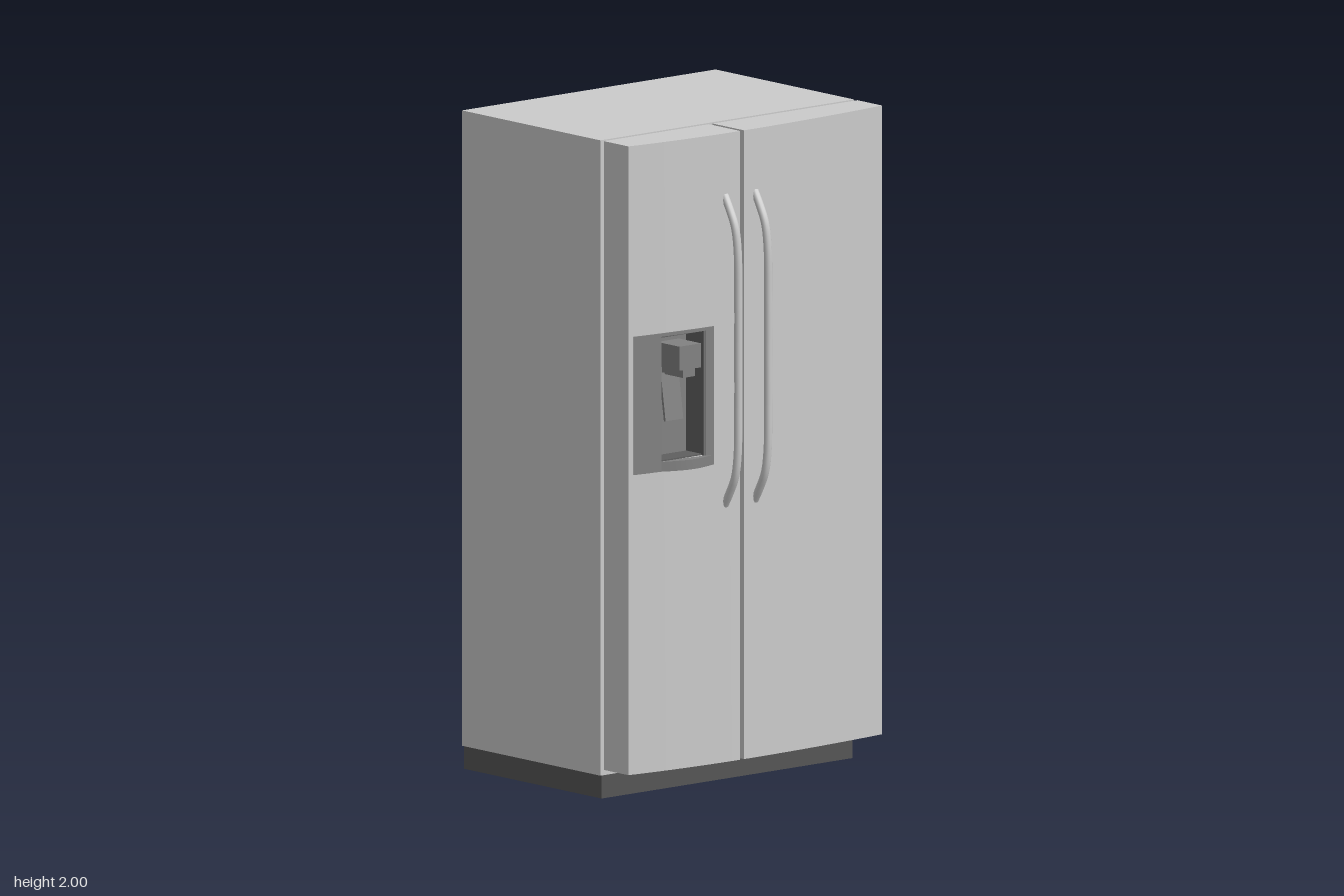
import * as THREE from 'three';
import { toCreasedNormals } from 'three/addons/utils/BufferGeometryUtils.js';

const material = (color) => new THREE.MeshStandardMaterial({ color, side: THREE.DoubleSide });

// Bowed front of the doors: fullest beside the centre gap
const frontZ = (x) => 0.371 - 0.031 * ((x + 0.08) / (x < -0.08 ? 0.42 : 0.58)) ** 2;

export function createModel() {
  const model = new THREE.Group();
  const grey = material(0xcccccc);
  const baseGrey = material(0x555555);
  const panelGrey = material(0x828282);
  const darkGrey = material(0x606060);
  const black = material(0x151515);

  function add(parent, name, geometry, mat) {
    const mesh = new THREE.Mesh(geometry, mat);
    mesh.name = name;
    parent.add(mesh);
    return mesh;
  }

  function group(name) {
    const g = new THREE.Group();
    g.name = name;
    model.add(g);
    return g;
  }

  // Box given by its limits on each axis
  function box(parent, name, x0, x1, y0, y1, z0, z1, mat) {
    const mesh = add(parent, name, new THREE.BoxGeometry(x1 - x0, y1 - y0, z1 - z0), mat);
    mesh.position.set((x0 + x1) / 2, (y0 + y1) / 2, (z0 + z1) / 2);
    return mesh;
  }

  // Upright slab with a flat back and a front that follows the function front(x)
  function slab(parent, name, x0, x1, y0, y1, back, front, mat) {
    const shape = new THREE.Shape();
    shape.moveTo(x0, -back);
    const n = 16;
    for (let i = 0; i <= n; i++) {
      const x = x0 + ((x1 - x0) * i) / n;
      shape.lineTo(x, -front(x));
    }
    shape.lineTo(x1, -back);
    const geometry = new THREE.ExtrudeGeometry(shape, { depth: y1 - y0, bevelEnabled: false });
    geometry.rotateX(-Math.PI / 2);
    geometry.translate(0, y0, 0);
    return add(parent, name, toCreasedNormals(geometry, 0.5), mat);
  }

  // Cabinet, base and door seals
  box(model, 'cabinet', -0.5, 0.5, 0.07, 2, -0.42, 0.212, grey);
  box(model, 'base', -0.495, 0.495, 0, 0.07, -0.417, 0.212, baseGrey);
  box(model, 'leftSeal', -0.06, 0.475, 0.1, 1.98, 0.212, 0.228, grey);
  box(model, 'rightSeal', -0.48, -0.095, 0.1, 1.98, 0.212, 0.228, grey);

  // Wide door
  slab(model, 'wideDoor', -0.071, 0.5, 0.09, 2, 0.228, frontZ, grey);

  // Narrow door, built around the dispenser opening
  const cx0 = -0.385, cx1 = -0.22, cy0 = 1.03, cy1 = 1.41, cz = 0.28;
  const door = group('narrowDoor');
  slab(door, 'doorBottom', -0.5, -0.086, 0.09, cy0, 0.228, frontZ, grey);
  slab(door, 'doorTop', -0.5, -0.086, cy1, 2, 0.228, frontZ, grey);
  slab(door, 'doorOuterSide', -0.5, cx0, cy0, cy1, 0.228, frontZ, grey);
  slab(door, 'doorInnerSide', cx1, -0.086, cy0, cy1, 0.228, frontZ, grey);
  box(door, 'doorBehindRecess', cx0, cx1, cy0, cy1, 0.228, cz, grey);

  // Dispenser frame and recess lining
  const dispenser = group('dispenser');
  const raised = (x) => frontZ(x) + 0.003;
  for (const [x0, x1, y0, y1] of [
    [-0.482, -0.19, 1.0, cy0], [-0.482, -0.19, cy1, 1.42],
    [-0.482, cx0, cy0, cy1], [cx1, -0.19, cy0, cy1],
  ]) slab(dispenser, 'dispenserFrame', x0, x1, y0, y1, 0.335, raised, panelGrey);
  const t = 0.004;
  box(dispenser, 'recessBack', cx0, cx1, cy0, cy1, cz, cz + t, panelGrey);
  box(dispenser, 'recessOuterWall', cx0, cx0 + t, cy0, cy1, cz, 0.354, darkGrey);
  box(dispenser, 'recessInnerWall', cx1 - t, cx1, cy0, cy1, cz, 0.364, darkGrey);
  box(dispenser, 'recessFloor', cx0, cx1, cy0, cy0 + t, cz, 0.354, darkGrey);
  box(dispenser, 'recessCeiling', cx0, cx1, cy1 - t, cy1, cz, 0.354, darkGrey);

  // Drip tray lip, nozzle housing and paddle
  const lip = (x) => raised(x) + 0.021 * Math.sin((Math.PI * (x + 0.385)) / 0.19);
  slab(dispenser, 'dripTray', -0.385, -0.195, 1.0, cy0, 0.34, lip, panelGrey);
  box(dispenser, 'nozzleHousing', -0.338, -0.253, 1.305, 1.378, cz, 0.386, panelGrey);
  box(dispenser, 'nozzle', -0.32, -0.272, 1.28, 1.305, cz, 0.38, panelGrey);
  const paddle = box(dispenser, 'paddle', -0.335, -0.265, 1.14, 1.285, 0.3, 0.308, panelGrey);
  paddle.rotation.x = -0.15;

  // Bowed handles
  const handlePath = new THREE.CatmullRomCurve3([
    [0.87, 0.362], [0.91, 0.386], [0.96, 0.41], [1.03, 0.422], [1.18, 0.425], [1.34, 0.425],
    [1.5, 0.425], [1.65, 0.422], [1.72, 0.41], [1.77, 0.386], [1.81, 0.362],
  ].map(([y, z]) => new THREE.Vector3(0, y, z)));
  for (const [name, x] of [['narrowDoorHandle', -0.14], ['wideDoorHandle', -0.022]]) {
    const handle = add(model, name, new THREE.TubeGeometry(handlePath, 60, 0.0125, 12), grey);
    handle.position.x = x;
  }

  // Condenser sheet with rounded lobes where the pipe turns
  const condenser = group('condenser');
  const rows = 16, top = 1.865, pitch = 0.086, r = pitch / 2;
  const rowY = (i) => top - i * pitch;
  const sheet = new THREE.Shape();
  sheet.moveTo(0.38, 1.875);
  sheet.lineTo(-0.365, 1.875);
  for (let i = 0; i < rows; i += 2) {
    sheet.lineTo(-0.365, rowY(i));
    sheet.absarc(-0.365, rowY(i) - r, r, Math.PI / 2, Math.PI * 1.5, false);
  }
  sheet.lineTo(-0.365, 0.567);
  sheet.lineTo(0.38, 0.567);
  const sheetGeometry = new THREE.ExtrudeGeometry(sheet, { depth: 0.003, bevelEnabled: false, curveSegments: 8 });
  add(condenser, 'condenserSheet', sheetGeometry, black).position.z = -0.424;

  // Serpentine pipe
  const pipe = new THREE.CurvePath();
  const v = (x, y) => new THREE.Vector3(x, y, -0.425);
  for (let i = 0; i < rows; i++) {
    const from = i % 2 ? -0.365 : 0.32, to = i % 2 ? 0.32 : -0.365;
    pipe.add(new THREE.LineCurve3(v(from, rowY(i)), v(to, rowY(i))));
    if (i === rows - 1) break;
    const side = i % 2 ? 1 : -1;
    const turn = [];
    for (let k = 0; k <= 6; k++) {
      const a = (Math.PI * k) / 6;
      turn.push(v(to + side * r * Math.sin(a), rowY(i) - r + r * Math.cos(a)));
    }
    pipe.add(new THREE.CatmullRomCurve3(turn));
  }
  add(condenser, 'serpentinePipe', new THREE.TubeGeometry(pipe, 900, 0.004, 6), black);

  // Upright wires across the pipe
  for (let i = 0; i < 70; i++) {
    const x = -0.37 + i * 0.01;
    box(condenser, 'condenserWire', x - 0.0015, x + 0.0015, 0.567, 1.878, -0.439, -0.423, black);
  }

  // Supply and return pipes running down the edge
  for (const [x, y0, y1] of [[0.378, 0.4, 1.87], [0.352, 0.41, 1.2]]) {
    const line = new THREE.LineCurve3(v(x, y0), v(x, y1));
    add(condenser, 'edgePipe', new THREE.TubeGeometry(line, 1, 0.006, 8), black);
  }

  return model;
}
